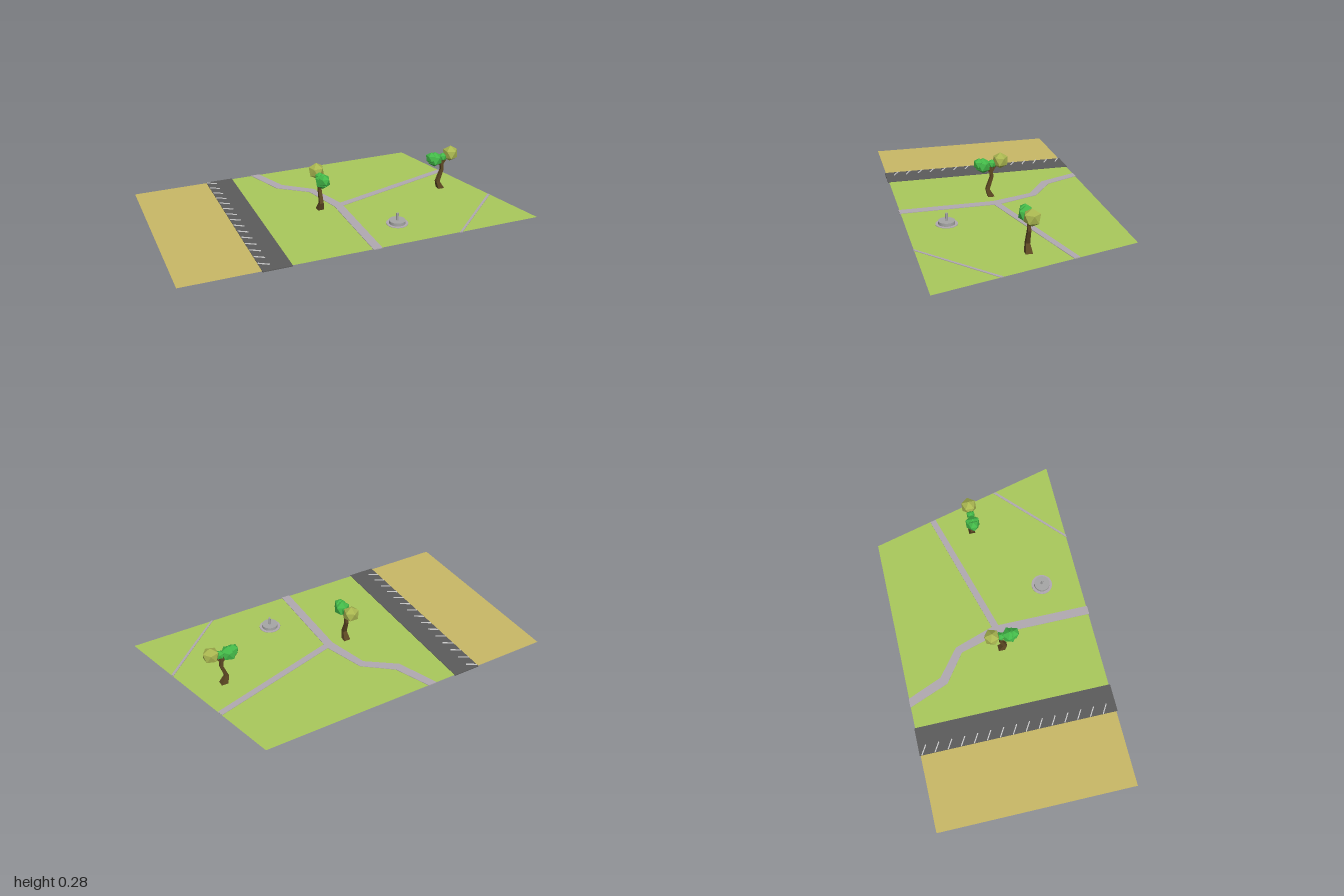
import * as THREE from 'three';

const GROUND = 0.023;

function material(color, extra = {}) {
  return new THREE.MeshStandardMaterial({ color, ...extra });
}

function addMesh(parent, name, geometry, mat) {
  const mesh = new THREE.Mesh(geometry, mat);
  mesh.name = name;
  parent.add(mesh);
  return mesh;
}

// Flat outline given as [x, z] points
function outline(points) {
  return new THREE.Shape(points.map(([x, z]) => new THREE.Vector2(x, -z)));
}

function flat(points, y) {
  return new THREE.ShapeGeometry(outline(points)).rotateX(-Math.PI / 2).translate(0, y, 0);
}

function slab(points, y, depth) {
  return new THREE.ExtrudeGeometry(outline(points), { depth, bevelEnabled: false })
    .rotateX(-Math.PI / 2).translate(0, y, 0);
}

// Square-sectioned tapering limb through rings [x, y, z, half width]
function limb(rings) {
  const pos = [], index = [];
  const corners = [[-1, 1], [1, 1], [1, -1], [-1, -1]];
  rings.forEach(([x, y, z, w], r) => {
    corners.forEach(([cx, cz], k) => {
      pos.push(x + cx * w, y, z + cz * w);
      if (r === 0) return;
      const a = (r - 1) * 4 + k, b = (r - 1) * 4 + (k + 1) % 4;
      index.push(a, b, b + 4, a, b + 4, a + 4);
    });
  });
  const t = (rings.length - 1) * 4;
  index.push(0, 2, 1, 0, 3, 2, t, t + 1, t + 2, t, t + 2, t + 3);
  const g = new THREE.BufferGeometry();
  g.setAttribute('position', new THREE.Float32BufferAttribute(pos, 3));
  g.setIndex(index);
  const out = g.toNonIndexed();
  out.computeVertexNormals();
  return out;
}

function createTree(name) {
  const tree = new THREE.Group();
  tree.name = name;
  const bark = material(0x5c4722, { flatShading: true });
  const olive = material(0xa9b650, { flatShading: true });
  const green = material(0x43b848, { flatShading: true });

  // Bent trunk with a flared foot, and two short branches
  addMesh(tree, 'trunk', limb([
    [0.003, 0, 0, 0.021], [0.002, 0.014, 0, 0.02], [-0.022, 0.068, 0, 0.011],
    [0.003, 0.142, 0, 0.009], [-0.004, 0.2, 0, 0.008],
  ]), bark);
  addMesh(tree, 'leftBranch', limb([[0, 0.165, 0, 0.005], [0.035, 0.215, 0, 0.004]]), bark);
  addMesh(tree, 'rightBranch', limb([[0, 0.16, 0, 0.005], [-0.04, 0.2, 0, 0.004]]), bark);

  // Faceted foliage with a vertex pointing up
  const foliage = [
    ['oliveFoliage', 0.053, 0.233, 0.047, olive],
    ['greenFoliage', -0.047, 0.21, 0.045, green],
    ['outerFoliage', -0.07, 0.222, 0.034, green],
    ['innerFoliage', 0.004, 0.217, 0.026, green],
  ];
  for (const [part, x, y, r, mat] of foliage) {
    const g = new THREE.IcosahedronGeometry(r, 0).rotateZ(-0.5536);
    addMesh(tree, part, g, mat).position.set(x, y, 0);
  }
  return tree;
}

export function createModel() {
  const model = new THREE.Group();
  model.name = 'park';

  // Ground areas
  const both = { side: THREE.DoubleSide };
  addMesh(model, 'sand', flat([[-1, 0.55], [-0.5, 0.55], [-0.5, -0.555], [-1, -0.555]], GROUND),
    material(0xc9b866, both));
  addMesh(model, 'grass', flat([[-0.5, 0.55], [1, 0.55], [0.715, -0.555], [-0.5, -0.555]], GROUND),
    material(0xa9c95c, both));

  // Road with slanted parking marks
  addMesh(model, 'road', slab([[-0.577, 0.557], [-0.42, 0.557], [-0.42, -0.56], [-0.577, -0.56]],
    GROUND - 0.0025, 0.005), material(0x5c5c5c));
  const marks = new THREE.Group();
  marks.name = 'parkingMarks';
  model.add(marks);
  const markPaint = material(0xcccccc);
  for (let i = 0; i < 15; i++) {
    const mark = addMesh(marks, 'parkingMark', new THREE.BoxGeometry(0.06, 0.004, 0.006), markPaint);
    mark.position.set(-0.55, GROUND + 0.004, 0.49 - i * 0.073);
    mark.rotation.y = -0.55;
  }

  // Paved paths, set slightly through the ground
  const paving = material(0xb1a9b1);
  const paths = {
    mainPath: [[0.015, 0.555], [0.065, 0.555], [0.065, 0.01], [0.06, -0.02], [-0.013, -0.238],
      [-0.168, -0.36], [-0.249, -0.557], [-0.3, -0.557], [-0.211, -0.329], [-0.05, -0.211], [0.015, 0.02]],
    sidePath: [[0.058, -0.01], [0.065, 0.028], [0.809, -0.187], [0.8, -0.22]],
    cornerPath: [[0.518, 0.552], [0.535, 0.552], [0.91, 0.208], [0.906, 0.192]],
  };
  for (const [name, points] of Object.entries(paths)) {
    addMesh(model, name, slab(points, GROUND - 0.0025, 0.005), paving);
  }

  // Fountain on its round paving
  const fountain = new THREE.Group();
  fountain.name = 'fountain';
  fountain.position.set(0.255, GROUND, 0.333);
  model.add(fountain);
  const stone = material(0xa6a6a6);
  addMesh(fountain, 'roundPaving', new THREE.CylinderGeometry(0.06, 0.06, 0.005, 32), paving);
  addMesh(fountain, 'basin', new THREE.CylinderGeometry(0.045, 0.045, 0.02, 32), stone).position.y = 0.01;
  addMesh(fountain, 'column', new THREE.CylinderGeometry(0.007, 0.007, 0.044, 16), stone).position.y = 0.04;

  // Two matching trees, the second a quarter turn round
  const leftTree = createTree('leftTree');
  leftTree.position.set(0.692, 0, 0.01);
  const rightTree = createTree('rightTree');
  rightTree.position.set(-0.07, 0, 0.012);
  rightTree.rotation.y = Math.PI / 2;
  model.add(leftTree, rightTree);

  return model;
}
